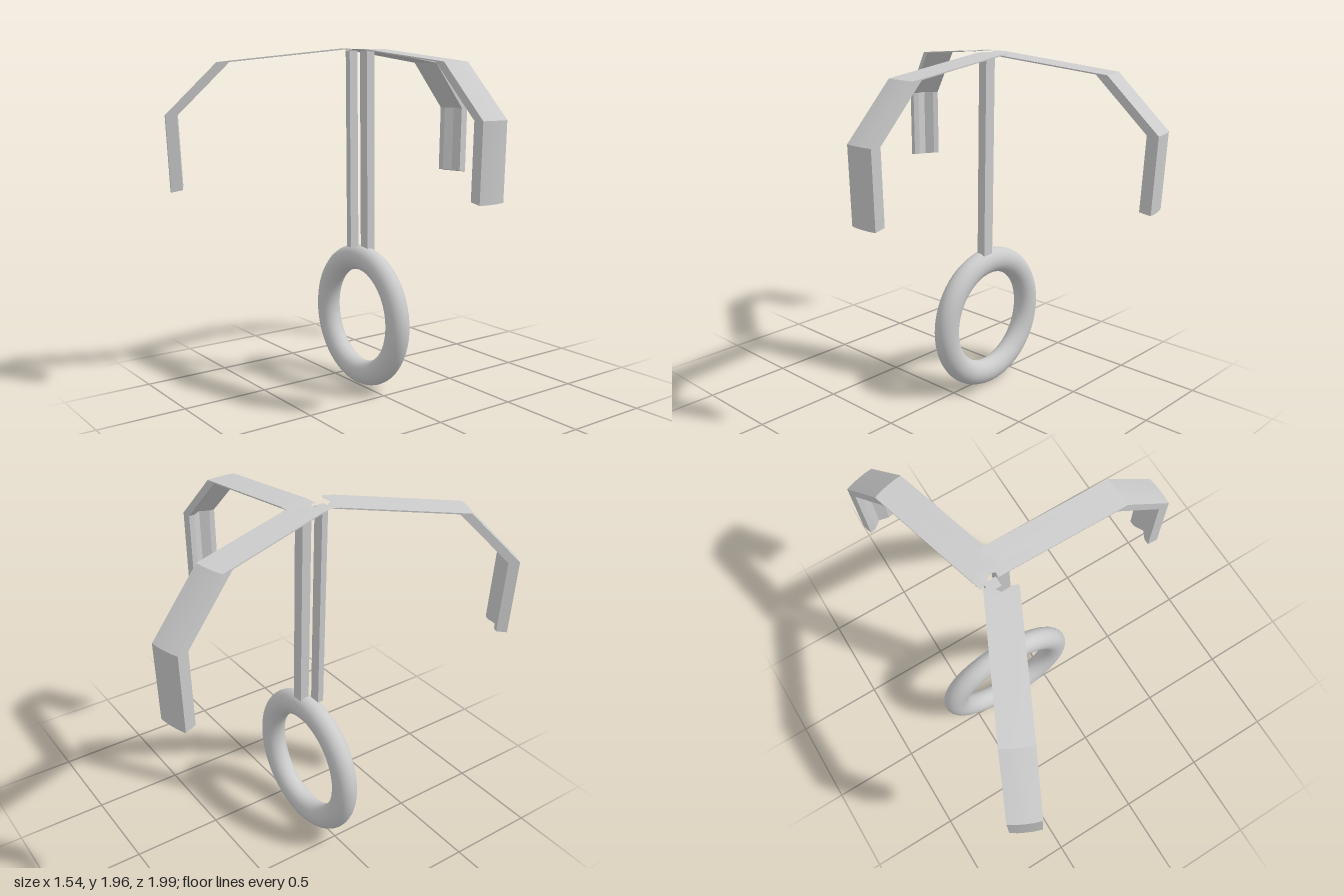
import * as THREE from 'three';
import { toCreasedNormals } from 'three/addons/utils/BufferGeometryUtils.js';

const material = new THREE.MeshStandardMaterial({ color: 0xcccccc, side: THREE.DoubleSide });

// Grooved plank section (x across, y outward), outer side first
const section = [
  [-0.083, -0.006], [-0.04, -0.001], [0, 0], [0.04, -0.001], [0.083, -0.006],
  [0.083, -0.068], [0.05, -0.068], [0, -0.04], [-0.05, -0.068], [-0.083, -0.068],
].map(([x, y]) => new THREE.Vector2(x, y));

// Arm path: distance outward, height, end slant
const path = [[0, 1.962, 0], [0.66, 1.89, 0], [0.945, 1.605, 0], [0.93, 1.19, 0.2]];

// The level section slides along the path without turning
function armGeometry() {
  const positions = [];
  const index = [];
  const n = section.length;
  for (const [out, y, slant] of path) {
    for (const p of section) positions.push(p.x, y - p.y * slant, out + p.y);
  }
  for (let s = 0; s < path.length - 1; s++) {
    for (let i = 0; i < n; i++) {
      const a = s * n + i, b = s * n + (i + 1) % n;
      index.push(a, a + n, b, b, a + n, b + n);
    }
  }
  // End caps
  const last = (path.length - 1) * n;
  for (const [a, b, c] of THREE.ShapeUtils.triangulateShape(section, [])) {
    index.push(a, c, b, a + last, b + last, c + last);
  }
  const geometry = new THREE.BufferGeometry();
  geometry.setAttribute('position', new THREE.Float32BufferAttribute(positions, 3));
  geometry.setIndex(index);
  return toCreasedNormals(geometry, 0.4);
}

// Upright strap from a plan outline of [x, z] corners
function strapGeometry(corners, bottom, top) {
  const shape = new THREE.Shape(corners.map(([x, z]) => new THREE.Vector2(x, -z)));
  const geometry = new THREE.ExtrudeGeometry(shape, { depth: top - bottom, bevelEnabled: false });
  return geometry.rotateX(-Math.PI / 2).translate(0, bottom, 0);
}

export function createModel() {
  const model = new THREE.Group();
  const add = (name, geometry) => {
    const mesh = new THREE.Mesh(geometry, material);
    mesh.name = name;
    model.add(mesh);
    return mesh;
  };

  // Three drooping arms: name, start x, start z, heading
  const arm = armGeometry();
  const arms = [
    ['leftArm', -0.18, -0.08, Math.PI / 2 + 0.03],
    ['frontArm', -0.29, 0.11, Math.atan2(-0.41, 0.845)],
    ['backArm', -0.285, -0.07, Math.atan2(-0.24, -0.97)],
  ];
  for (const [name, x, z, heading] of arms) {
    const mesh = add(name, arm);
    mesh.position.set(x, 0, z);
    mesh.rotation.y = heading;
  }

  // Two straps carrying the ring
  add('frontStrap', strapGeometry(
    [[-0.32, -0.008], [-0.256, -0.008], [-0.256, 0.045], [-0.295, 0.045], [-0.32, 0.025]], 0.835, 1.955));
  add('backStrap', strapGeometry(
    [[-0.246, -0.07], [-0.18, -0.07], [-0.18, -0.018], [-0.246, -0.018]], 0.82, 1.955));

  // Hanging ring
  const ring = add('ring', new THREE.TorusGeometry(0.347, 0.073, 24, 64));
  ring.scale.z = 0.89;
  ring.position.set(-0.26, 0.42, -0.03);

  return model;
}
